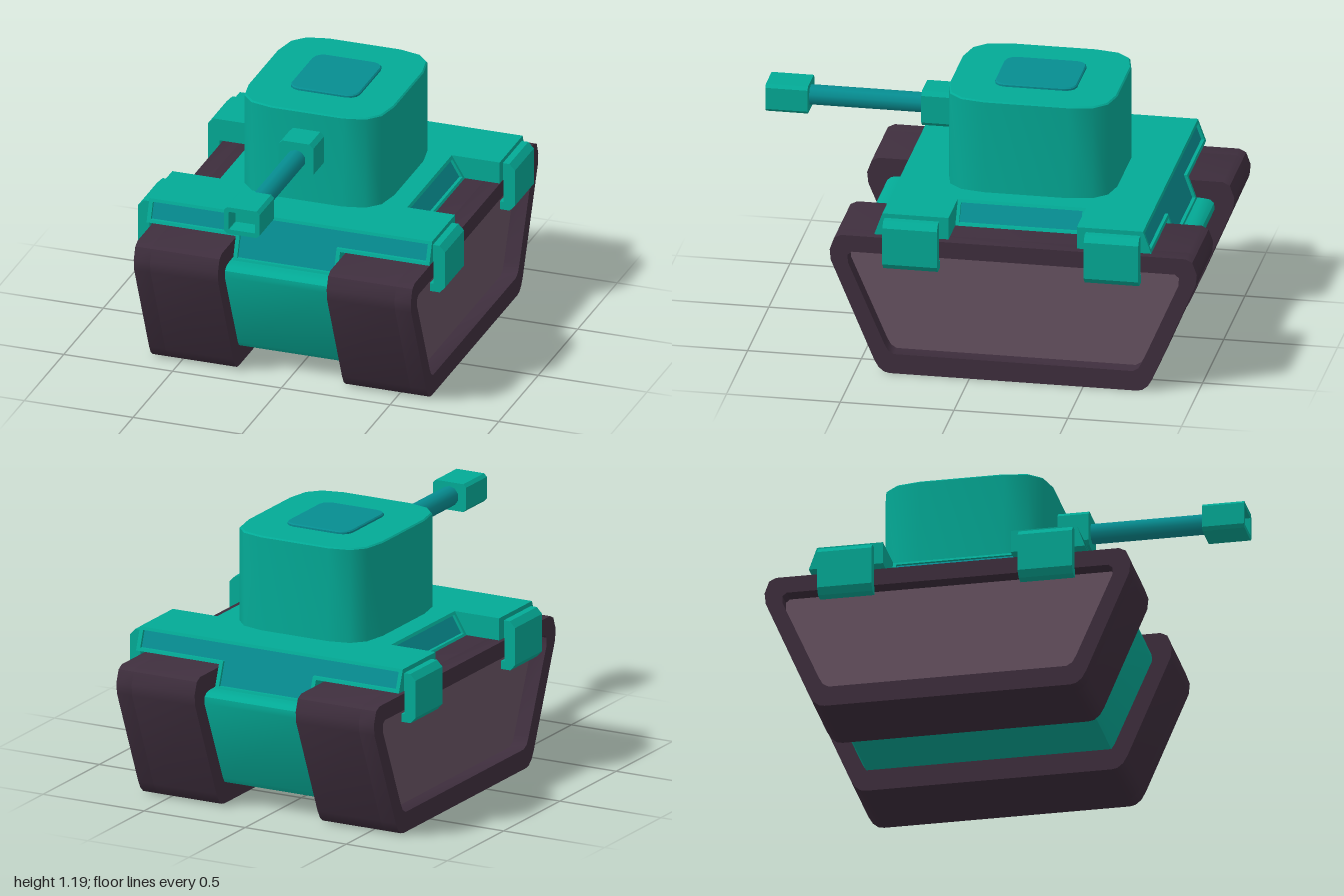
import * as THREE from 'three';
import { toCreasedNormals } from 'three/addons/utils/BufferGeometryUtils.js';

const paint = (name, color) => new THREE.MeshStandardMaterial({ name, color });
const MID = -0.193; // z centre of hull, deck, tracks and turret

const shapeOf = (pts) => new THREE.Shape(pts.map(([x, y]) => new THREE.Vector2(x, y)));
// Completes a right-hand half outline (top to bottom) by mirroring it in x
const mirrored = (half) => [...half, ...half.map(([x, y]) => [-x, y]).reverse()];

// Holes run opposite to the outline so that their walls face inwards
function extrude(pts, depth, hole, bevel = 0) {
  const shape = shapeOf(pts);
  if (hole) shape.holes.push(shapeOf([...hole].reverse()));
  return new THREE.ExtrudeGeometry(shape, {
    depth: depth - 2 * bevel, bevelEnabled: bevel > 0, bevelSize: bevel,
    bevelThickness: bevel, bevelOffset: -bevel, bevelSegments: 1,
  }).translate(0, 0, bevel);
}

const smooth = (geo) => toCreasedNormals(geo, 0.6);

// Rectangle with chamfered corners, centred on the origin
function chamferRect(w, h, c) {
  return mirrored([[w - c, h], [w, h - c], [w, c - h], [w - c, -h]]);
}

// Mirrors one corner (from the top edge round to the side) into a full outline
const fourCorners = (corner) =>
  mirrored([...corner, ...corner.map(([x, y]) => [x, -y]).reverse()]);

// Solid between two matching outlines of [x, z] at heights y0 and y1
function loft(bottom, top, y0, y1) {
  const n = bottom.length, pos = [], idx = [];
  bottom.forEach(([x, z]) => pos.push(x, y0, z));
  top.forEach(([x, z]) => pos.push(x, y1, z));
  for (let i = 0; i < n; i++) {
    const j = (i + 1) % n;
    idx.push(i, i + n, j, j, i + n, j + n);
  }
  const contour = top.map(([x, z]) => new THREE.Vector2(x, z));
  for (const [a, b, c] of THREE.ShapeUtils.triangulateShape(contour, [])) {
    idx.push(a, b, c, a + n, c + n, b + n);
  }
  const g = new THREE.BufferGeometry();
  g.setAttribute('position', new THREE.Float32BufferAttribute(pos, 3));
  g.setIndex(idx);
  const flat = g.toNonIndexed();
  flat.computeVertexNormals();
  return flat;
}

// Leans a geometry outwards (+z) below the deck top
function lean(g, slope) {
  const p = g.attributes.position;
  for (let i = 0; i < p.count; i++) p.setZ(i, p.getZ(i) + slope * (0.75 - p.getY(i)));
  g.computeVertexNormals();
  return g;
}

export function createModel() {
  const green = paint('tealArmour', 0x03aa96);
  const blue = paint('bluePanel', 0x068d91);
  const dark = paint('darkTrack', 0x3e2e3d);
  const mauve = paint('mauveTrackSide', 0x675261);

  const model = new THREE.Group();
  const add = (name, geo, mat, x = 0, y = 0, z = 0, parent = model) => {
    const m = new THREE.Mesh(geo, mat);
    m.name = name;
    m.position.set(x, y, z);
    parent.add(m);
    return m;
  };

  // Tracks: solid core, raised rim and deeply recessed side plate on the outer face
  const trackOuter = mirrored([[0.757, 0.63], [0.787, 0.615], [0.807, 0.56], [0.802, 0.51],
    [0.612, 0.06], [0.592, 0.025], [0.567, 0.005], [0.542, 0]]);
  const trackInner = mirrored([[0.71, 0.555], [0.728, 0.54], [0.727, 0.505],
    [0.567, 0.135], [0.55, 0.105], [0.525, 0.09]]);
  const recess = 0.075, face = 0.637;
  const core = smooth(extrude(trackOuter, face - recess - 0.25));
  const rim = smooth(extrude(trackOuter, recess, trackInner));
  const plate = extrude(trackInner, 0.004);
  for (const [name, s] of [['left', 1], ['right', -1]]) {
    const track = new THREE.Group();
    track.name = name + 'Track';
    track.rotation.y = s * Math.PI / 2;
    track.position.z = MID;
    add(name + 'TrackCore', core, dark, 0, 0, 0.25, track);
    add(name + 'TrackRim', rim, dark, 0, 0, face - recess, track);
    add(name + 'TrackSide', plate, mauve, 0, 0, face - recess, track);
    model.add(track);
  }

  // Hull between the tracks
  const hull = mirrored([[0.665, 0.55], [0.7, 0.545], [0.718, 0.53], [0.72, 0.5],
    [0.555, 0.12], [0.54, 0.097]]);
  add('hull', smooth(extrude(hull, 0.5).rotateY(Math.PI / 2)), green, -0.25, 0, MID);

  // Deck core, notched on both sides; framed panels cover its sloping faces
  const D = 0.018, L = 0.573, N = 0.282, slope = 0.36;
  const deckOutline = (grow, notchX) => {
    const l = L - D + grow;
    return mirrored([[0.65, -l], [0.65, -N], [notchX, -N], [notchX, N], [0.65, N], [0.65, l]]);
  };
  add('deck', loft(deckOutline(slope * 0.1, 0.49 - D), deckOutline(0, 0.43 - D), 0.65, 0.75), green, 0, 0, MID);
  const skirt = (drop) => {
    const l = L - D + slope * drop;
    return mirrored([[0.24, -l], [0.24, l]]);
  };
  add('deckSkirt', loft(skirt(0.2), skirt(0.1), 0.55, 0.65), green, 0, 0, MID);

  const endOuter = mirrored([[0.65, 0.75], [0.65, 0.65], [0.24, 0.65], [0.24, 0.55]]);
  const endInner = mirrored([[0.632, 0.737], [0.632, 0.663], [0.222, 0.663], [0.222, 0.56]]);
  const sideOuter = mirrored([[N, 0.75], [N, 0.65]]);
  const sideInner = mirrored([[N - 0.015, 0.738], [N - 0.015, 0.66]]);
  const framedPanel = (name, outer, inner, tilt, angle, dist) => {
    const g = new THREE.Group();
    g.name = name;
    g.rotation.y = angle;
    g.position.set(Math.sin(angle) * dist, 0, MID + Math.cos(angle) * dist);
    add(name + 'Frame', lean(extrude(outer, D, inner), tilt), green, 0, 0, 0, g);
    add(name + 'Inset', lean(extrude(inner, 0.004), tilt), blue, 0, 0, 0, g);
    model.add(g);
  };
  framedPanel('frontPanel', endOuter, endInner, slope, 0, L - D);
  framedPanel('backPanel', endOuter, endInner, slope, Math.PI, L - D);
  framedPanel('leftPanel', sideOuter, sideInner, 0.6, Math.PI / 2, 0.43 - D);
  framedPanel('rightPanel', sideOuter, sideInner, 0.6, -Math.PI / 2, 0.43 - D);

  // Side guards hanging from the deck corners, with a lip turned in under the edge
  const guard = extrude([[0.648, 0.73], [0.68, 0.73], [0.706, 0.703], [0.706, 0.535],
    [0.682, 0.508], [0.636, 0.508], [0.636, 0.545], [0.653, 0.545], [0.653, 0.65],
    [0.648, 0.65]], 0.24).translate(0, 0, -0.12);
  for (const z of [0.25, -0.635]) {
    for (const angle of [0, Math.PI]) {
      add('sideGuard', guard, green, 0, 0, z).rotation.y = angle;
    }
  }

  // Turret and hatch
  const turretOutline = fourCorners([[0.165, 0.37], [0.262, 0.347], [0.315, 0.29], [0.335, 0.185]]);
  const turret = extrude(turretOutline, 0.445, null, 0.006).rotateX(-Math.PI / 2);
  add('turret', smooth(turret), green, 0, 0.731, MID);
  const hatchOutline = fourCorners([[0.11, 0.18], [0.134, 0.173], [0.151, 0.156], [0.158, 0.132]]);
  const hatch = extrude(hatchOutline, 0.03, null, 0.005).rotateX(-Math.PI / 2);
  add('hatch', smooth(hatch), blue, 0, 1.159, MID - 0.003);

  // Gun: mount, barrel and hollow muzzle
  const gunY = 1.01;
  add('gunMount', extrude(chamferRect(0.08, 0.08, 0.018), 0.175), green, 0, gunY, 0.14);
  const barrel = new THREE.CylinderGeometry(0.045, 0.045, 0.54, 10).rotateX(Math.PI / 2);
  add('barrel', barrel, blue, 0, gunY, 0.57);
  const bore = chamferRect(0.06, 0.042, 0.002);
  add('muzzle', extrude(chamferRect(0.082, 0.063, 0.014), 0.185, bore), green, 0, gunY, 0.815);
  add('muzzleFloor', extrude(bore, 0.1), green, 0, gunY, 0.815);

  return model;
}
